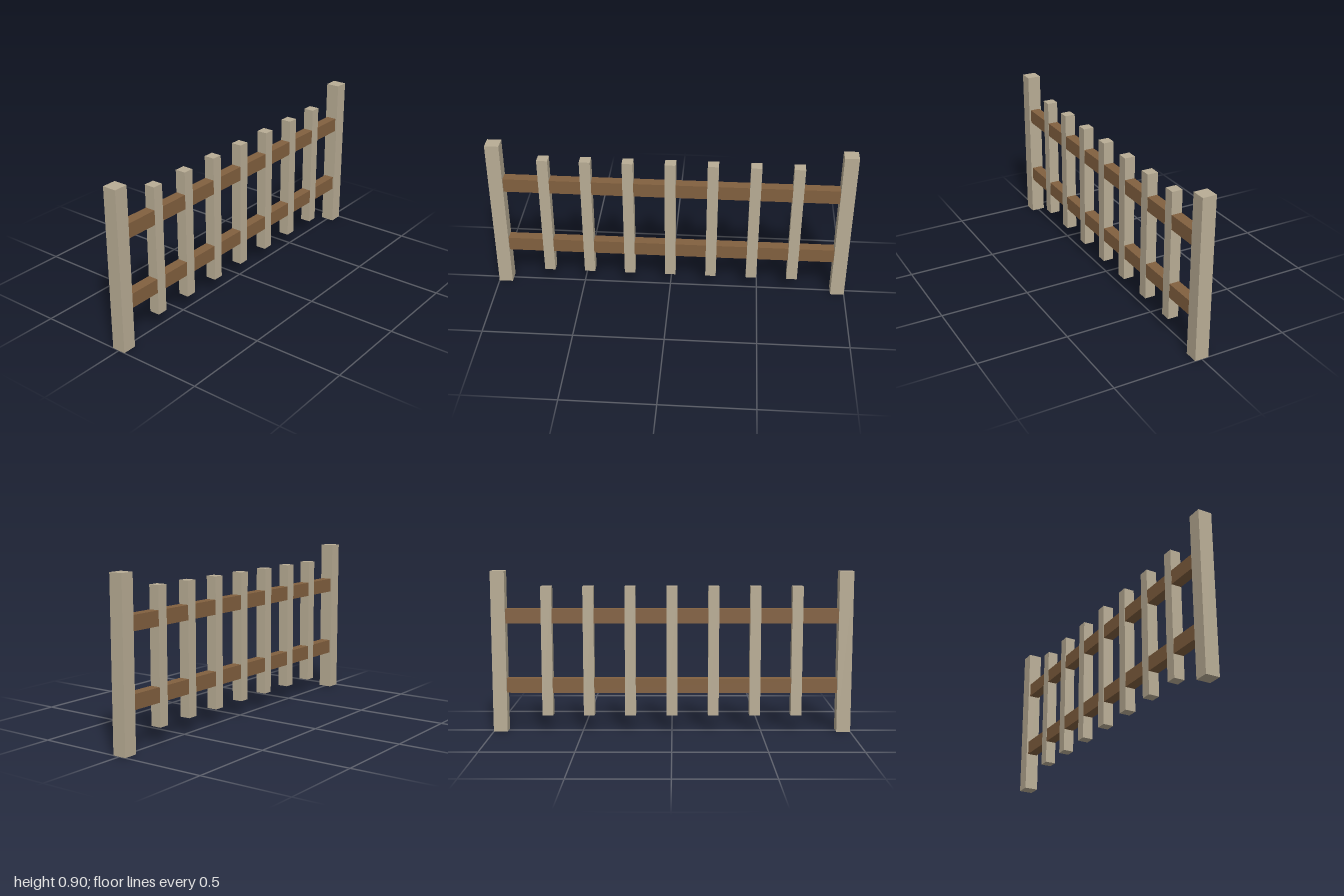
import * as THREE from 'three';

export function createModel() {
  const fence = new THREE.Group();
  fence.name = 'fence';

  const paleWood = new THREE.MeshStandardMaterial({ color: 0xb9ad95 });
  paleWood.name = 'paleWood';
  const brownWood = new THREE.MeshStandardMaterial({ color: 0x82603f });
  brownWood.name = 'brownWood';

  // Square-section timber, placed by its centre x and its lower and upper y
  function timber(name, material, x, width, bottom, top, depth) {
    const mesh = new THREE.Mesh(new THREE.BoxGeometry(width, top - bottom, depth), material);
    mesh.name = name;
    mesh.position.set(x, (bottom + top) / 2, 0);
    fence.add(mesh);
  }

  // End posts
  const postWidth = 0.078;
  const postX = 1 - postWidth / 2;
  timber('leftPost', paleWood, postX, postWidth, 0, 0.9, postWidth);
  timber('rightPost', paleWood, -postX, postWidth, 0, 0.9, postWidth);

  // Rails running between the posts, a hair thinner than the pickets
  const railLength = 2 * (1 - postWidth);
  timber('lowerRail', brownWood, 0, railLength, 0.22, 0.3, 0.058);
  timber('upperRail', brownWood, 0, railLength, 0.61, 0.69, 0.058);

  // Seven evenly spaced pickets
  for (let i = -3; i <= 3; i++) {
    timber(`picket${i + 4}`, paleWood, i * 0.232, 0.06, 0.09, 0.815, 0.06);
  }

  return fence;
}
